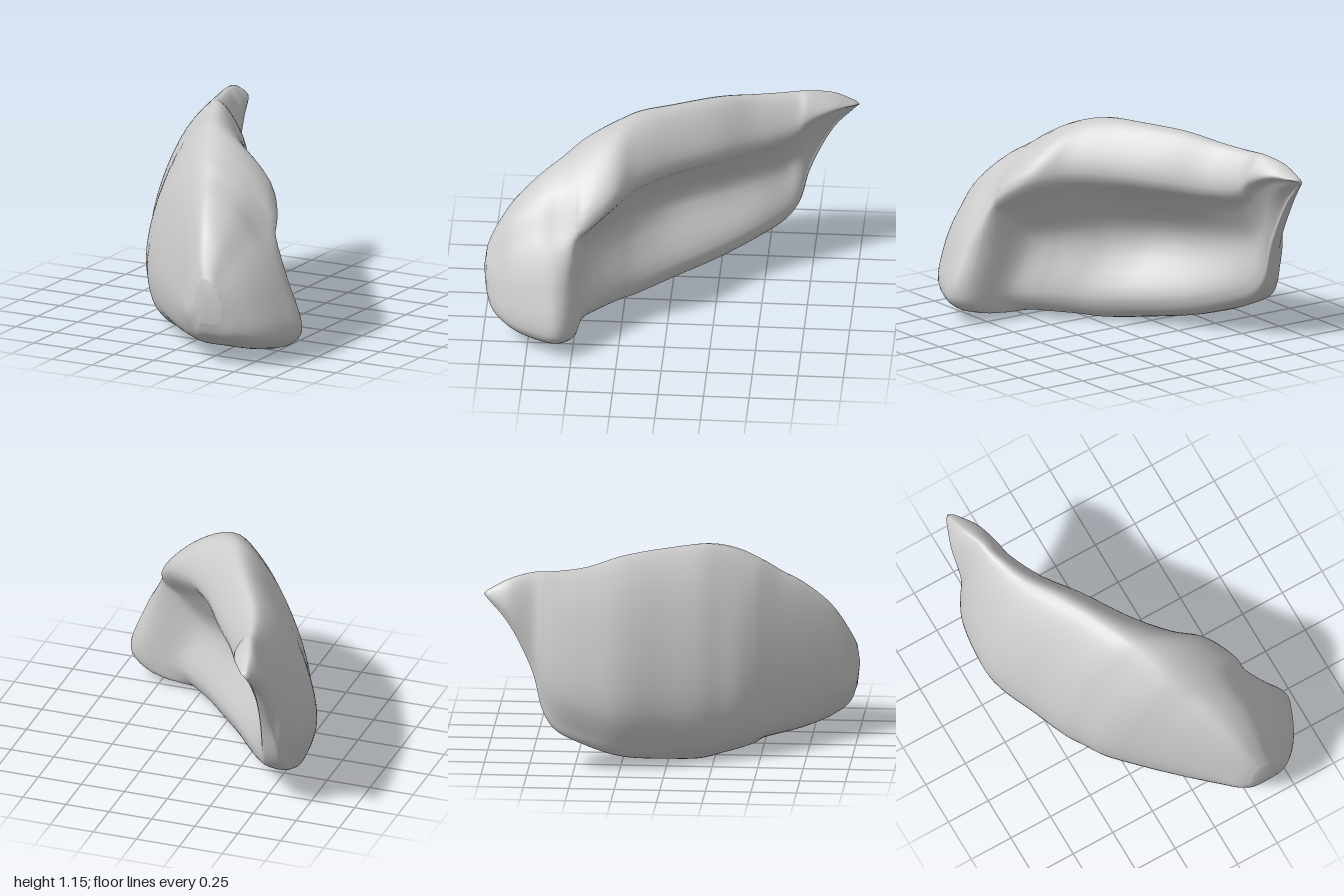
import * as THREE from 'three';

// Cross-sections from the front lobe to the back tip:
// z, bottom y, top y, then x of outer wall, ridge, inner rim, hollow, lower lip
const STATIONS = [
  [0.985, 0.25, 0.49, 0.24, 0.30, 0.38, 0.41, 0.40],
  [0.95, 0.17, 0.57, 0.18, 0.27, 0.39, 0.46, 0.48],
  [0.85, 0.10, 0.73, 0.08, 0.22, 0.42, 0.54, 0.58],
  [0.70, 0.055, 0.87, -0.07, 0.15, 0.44, 0.60, 0.66],
  [0.58, 0.04, 0.95, -0.19, 0.09, 0.45, 0.61, 0.69],
  [0.50, 0.035, 1.01, -0.27, 0.05, 0.47, 0.54, 0.62],
  [0.46, 0.03, 1.035, -0.31, 0.03, 0.47, 0.27, 0.38],
  [0.38, 0.02, 1.08, -0.38, 0.01, 0.43, 0.13, 0.26],
  [0.28, 0.01, 1.12, -0.44, -0.03, 0.35, 0.00, 0.14],
  [0.18, 0.00, 1.145, -0.50, -0.08, 0.21, -0.12, 0.04],
  [0.00, 0.02, 1.145, -0.58, -0.16, 0.05, -0.28, -0.11],
  [-0.25, 0.065, 1.13, -0.69, -0.29, -0.11, -0.40, -0.28],
  [-0.45, 0.14, 1.09, -0.70, -0.40, -0.25, -0.47, -0.40],
  [-0.60, 0.22, 1.08, -0.68, -0.45, -0.33, -0.51, -0.49],
  [-0.67, 0.32, 1.08, -0.65, -0.47, -0.36, -0.50, -0.52],
  [-0.73, 0.54, 1.08, -0.61, -0.48, -0.38, -0.49, -0.53],
  [-0.86, 0.81, 1.05, -0.60, -0.52, -0.43, -0.49, -0.54],
  [-0.98, 0.95, 0.99, -0.56, -0.54, -0.51, -0.53, -0.54],
];
const AROUND = 64, ALONG = 102;
const mix = THREE.MathUtils.lerp;

// One closed ring: under the lip, up the hollow, over the ridge, down the outer wall
function section([z, yb, yt, outer, ridge, rim, hollow, lip]) {
  const p = (x, f) => new THREE.Vector3(x, mix(yb, yt, f), z);
  // The rim dips where it meets the lobe
  const rimHeight = 0.75 - 0.09 * Math.exp(-(((z - 0.48) / 0.14) ** 2));
  const ring = new THREE.CatmullRomCurve3([
    p(mix(outer, lip, 0.5), 0),
    p(mix(outer, lip, 0.9), 0.025),
    p(lip, 0.12),
    p(hollow, 0.4),
    p(mix(hollow, rim, 0.5), mix(0.4, rimHeight, 0.6)),
    p(rim, rimHeight),
    p(mix(rim, ridge, 0.45), mix(rimHeight, 1, 0.72)),
    p(ridge, 1),
    p(mix(ridge, outer, 0.42), 0.87),
    p(mix(ridge, outer, 0.85), 0.55),
    p(outer, 0.27),
    p(outer + Math.min(0.05, (lip - outer) * 0.15), 0.09),
    p(mix(outer, lip, 0.25), 0.012),
  ], true);
  return ring.getPoints(AROUND).slice(0, AROUND);
}

function bodyGeometry() {
  const rings = STATIONS.map(section);
  const positions = [], index = [];
  // Smooth curves run lengthwise through matching points of the rings
  const strands = rings[0].map((_, j) =>
    new THREE.CatmullRomCurve3(rings.map((r) => r[j])).getPoints(ALONG));
  for (let i = 0; i <= ALONG; i++) {
    for (let j = 0; j < AROUND; j++) {
      const v = strands[j][i];
      positions.push(v.x, Math.max(0, v.y), v.z);
    }
  }
  for (let i = 0; i < ALONG; i++) {
    for (let j = 0; j < AROUND; j++) {
      const k = (j + 1) % AROUND;
      const a = i * AROUND + j, b = i * AROUND + k;
      const c = a + AROUND, d = b + AROUND;
      index.push(a, c, b, b, c, d);
    }
  }
  // Rounded ends close to a point
  const front = positions.length / 3, back = front + 1, last = ALONG * AROUND;
  positions.push(0.335, 0.38, 1, -0.54, 0.97, -1);
  for (let j = 0; j < AROUND; j++) {
    const k = (j + 1) % AROUND;
    index.push(front, j, k, back, last + k, last + j);
  }
  const geometry = new THREE.BufferGeometry();
  geometry.setAttribute('position', new THREE.Float32BufferAttribute(positions, 3));
  geometry.setIndex(index);
  geometry.computeVertexNormals();
  return geometry;
}

export function createModel() {
  const group = new THREE.Group();
  group.name = 'organicLobe';
  const body = new THREE.Mesh(bodyGeometry(), new THREE.MeshStandardMaterial({ color: 0xcccccc }));
  body.name = 'body';
  group.add(body);
  return group;
}
